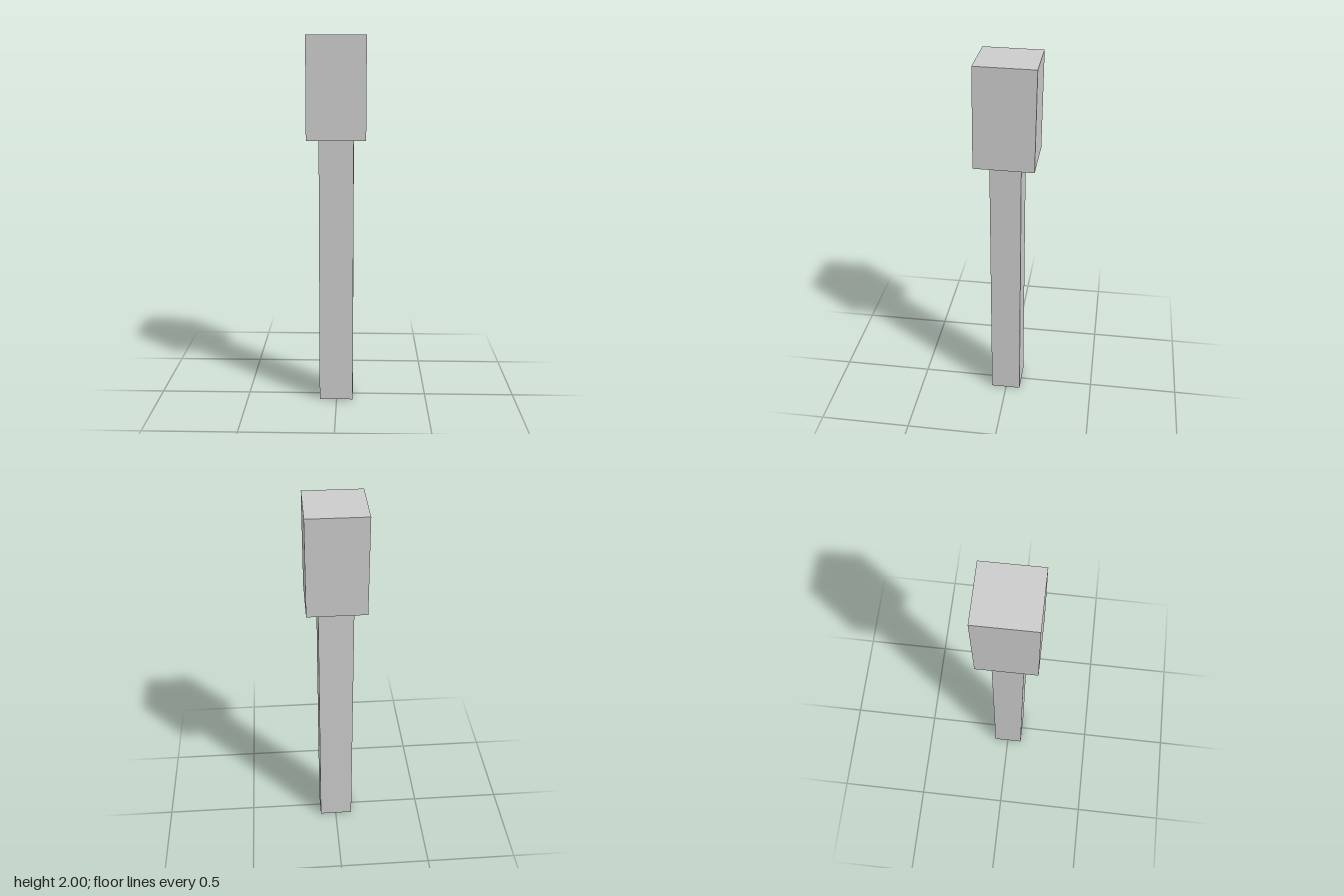
import * as THREE from 'three';

export function createModel() {
  const group = new THREE.Group();
  const material = new THREE.MeshStandardMaterial({ color: 0xcccccc, flatShading: true });

  function addBox(name, size, position) {
    const mesh = new THREE.Mesh(new THREE.BoxGeometry(...size), material);
    mesh.name = name;
    mesh.position.set(...position);
    group.add(mesh);
    return mesh;
  }

  // Straight square handle, ending just inside the head
  addBox('handle', [0.185, 1.465, 0.165], [-0.002, 0.7325, 0.002]);

  // Larger block on top, leaning very slightly backwards
  const head = addBox('head', [0.312, 0.535, 0.316], [-0.001, 1.7305, -0.001]);
  head.rotation.x = -0.012;

  return group;
}
